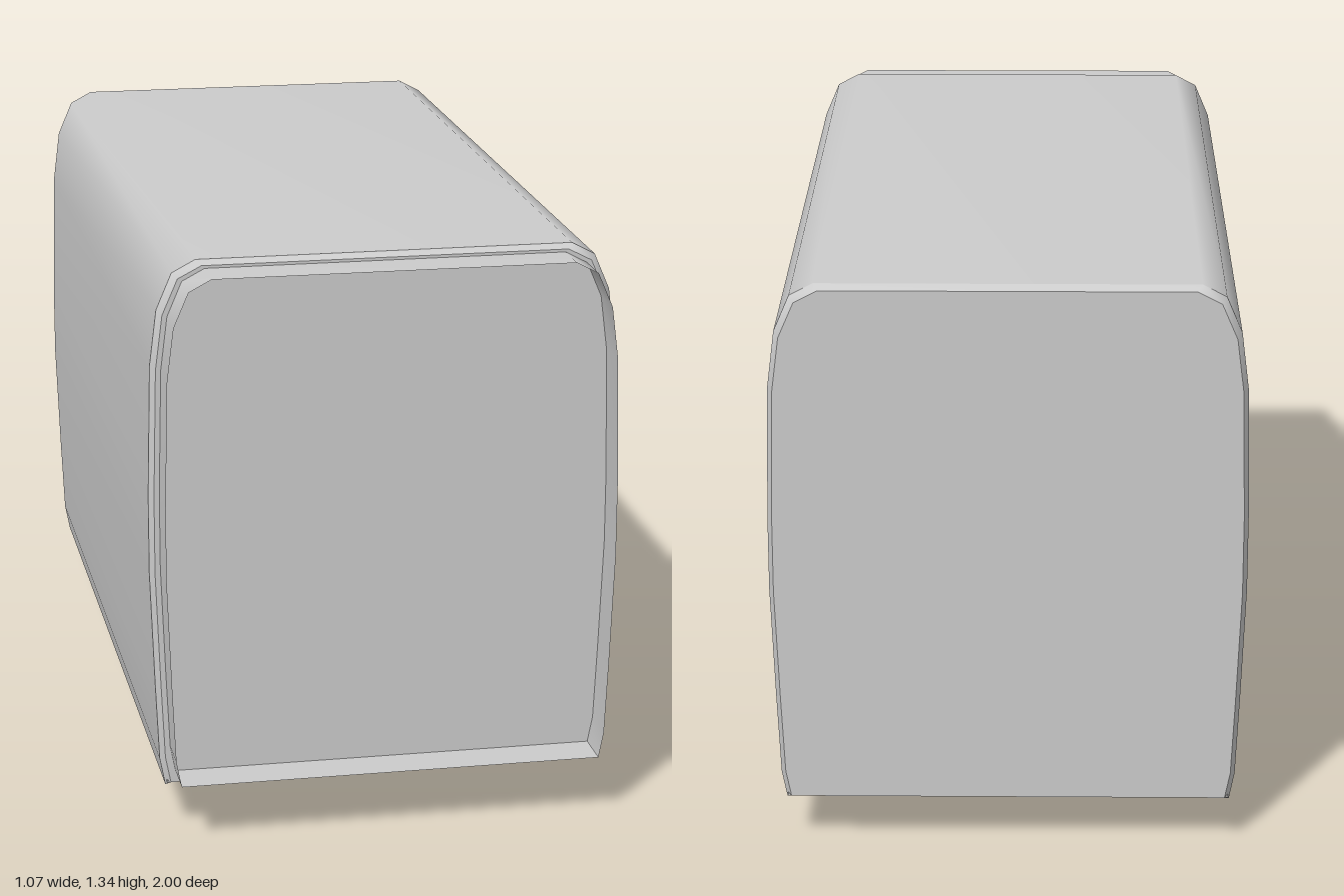
import * as THREE from 'three';

const grey = new THREE.MeshStandardMaterial({ color: 0xcccccc, side: THREE.DoubleSide });
grey.name = 'light grey';

// Half of the hull cross-section, from the lower edge up to the roof
const half = [[0.505, 0.107], [0.517, 0.17], [0.525, 0.35], [0.535, 0.62], [0.535, 0.8],
  [0.528, 1.1], [0.512, 1.227], [0.477, 1.309], [0.424, 1.337]];
const mirror = pts => [...pts, ...pts.map(([x, y]) => [-x, y]).reverse()];
const outer = mirror(half);
const inset = mirror(half.map(([x, y]) => [x - 0.011, 0.117 + (y - 0.107) * 0.983]));
const sleeve = mirror(half.map(([x, y]) => [x * 0.957, 0.145 + (y - 0.107) * 0.955]));

export function createModel() {
  const group = new THREE.Group();

  function add(name, geometry) {
    const mesh = new THREE.Mesh(geometry, grey);
    mesh.name = name;
    group.add(mesh);
    return mesh;
  }

  // Smooth band joining section a at z0 to section b at z1 (z1 > z0)
  function band(name, a, z0, b, z1) {
    const pos = [], index = [];
    a.forEach(([x, y], i) => {
      pos.push(x, y, z0, b[i][0], b[i][1], z1);
      if (i < a.length - 1) {
        const k = i * 2;
        index.push(k, k + 2, k + 1, k + 1, k + 2, k + 3);
      }
    });
    const g = new THREE.BufferGeometry();
    g.setAttribute('position', new THREE.Float32BufferAttribute(pos, 3));
    // Counter-clockwise section: flip so the outside is the front
    g.setIndex(index.reverse());
    g.computeVertexNormals();
    if (g.attributes.normal.getX(6) < 0) {
      g.setIndex(index.reverse());
      g.computeVertexNormals();
    }
    return add(name, g);
  }

  function endPanel(name, z, turned) {
    const g = new THREE.ShapeGeometry(new THREE.Shape(inset.map(p => new THREE.Vector2(...p))));
    const mesh = add(name, g);
    if (turned) mesh.rotation.y = Math.PI;
    mesh.position.z = z;
  }

  // Hull with narrow bevels at both ends
  band('hullShell', outer, -0.98, outer, 0.885);
  band('backBevel', inset, -1, outer, -0.98);
  band('frontBevel', outer, 0.885, inset, 0.9);
  endPanel('frontPanel', 0.9, false);
  endPanel('backPanel', -1, true);

  const floor = add('floor', new THREE.BoxGeometry(1.005, 0.006, 1.89));
  floor.position.set(0, 0.118, -0.05);

  // Open connecting sleeve at the front
  band('frontSleeve', sleeve, 0.89, sleeve, 1);
  const sill = add('sleeveFloor', new THREE.PlaneGeometry(sleeve[0][0] * 2, 0.11));
  sill.rotation.x = -Math.PI / 2;
  sill.position.set(0, 0.145, 0.945);

  // Running rails and half-sunk wheels
  const wheelShape = new THREE.Shape([[0.113, 0.108], [-0.113, 0.108], [-0.086, 0.04], [0, 0], [0.086, 0.04]]
    .map(p => new THREE.Vector2(...p)));
  const wheelGeometry = new THREE.ExtrudeGeometry(wheelShape, { depth: 0.04, bevelEnabled: false });
  wheelGeometry.translate(0, 0, -0.02).rotateY(Math.PI / 2);
  for (const side of [1, -1]) {
    const rail = add('underRail', new THREE.BoxGeometry(0.08, 0.012, 0.96));
    rail.position.set(side * 0.328, 0.111, -0.05);
    for (const z of [0.318, -0.415]) {
      add('wheel', wheelGeometry).position.set(side * 0.305, 0, z);
    }
  }
  return group;
}
